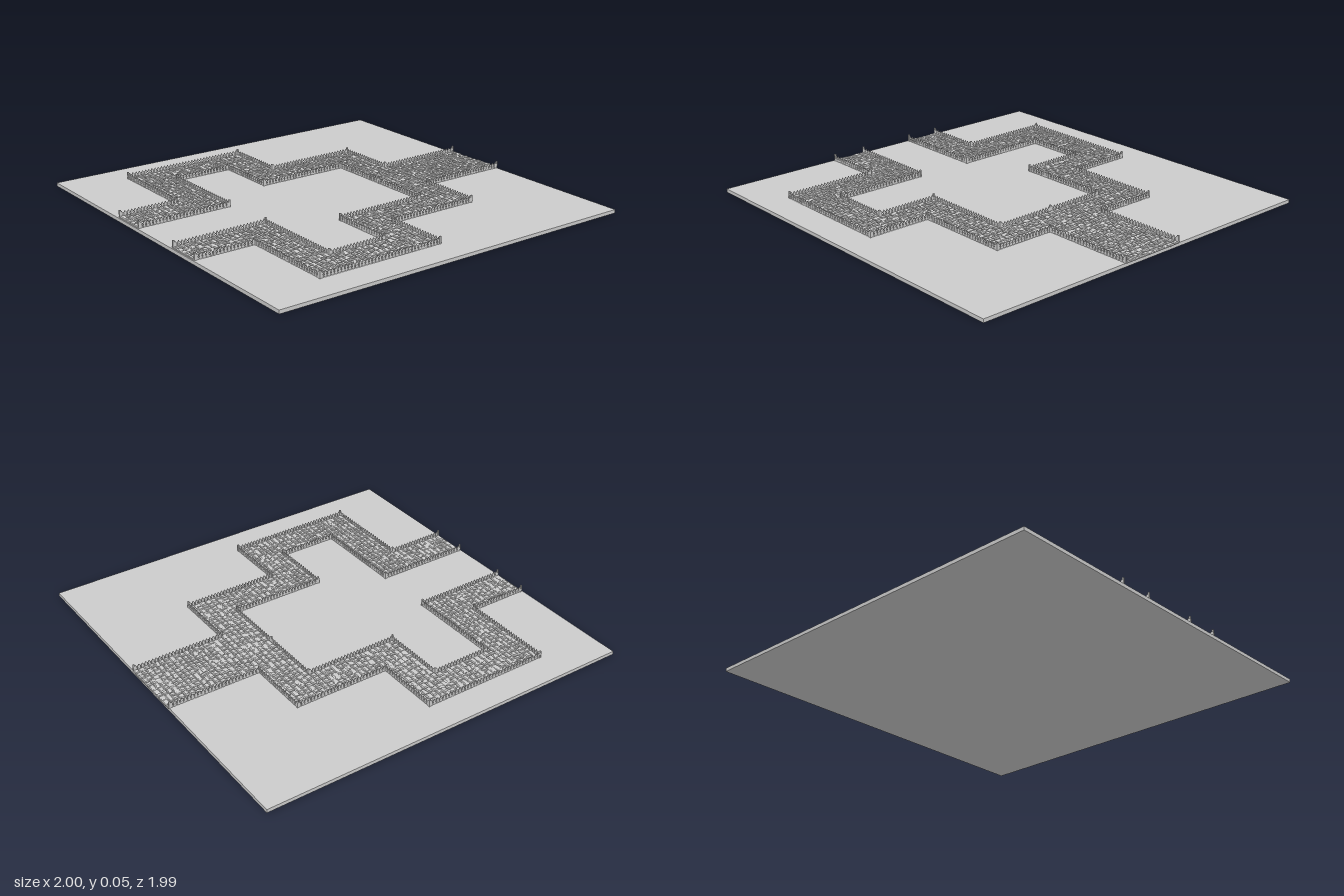
import * as THREE from 'three';
import { mergeGeometries } from 'three/addons/utils/BufferGeometryUtils.js';

const GROUND = 0.018;
const grey = new THREE.MeshStandardMaterial({ color: 0xcccccc, flatShading: true });

// Small seeded generator for the stone layout
function seeded(seed) {
  return () => {
    seed = (seed * 1664525 + 1013904223) % 4294967296;
    return seed / 4294967296;
  };
}

function addMerged(group, name, geometries) {
  const mesh = new THREE.Mesh(mergeGeometries(geometries), grey);
  mesh.name = name;
  group.add(mesh);
}

// Path pieces that do not overlap: [x0, x1, z0, z1]
const centrePieces = [
  [-0.173, 0.173, -0.995, -0.505],
  [-0.5, 0.5, -0.505, -0.325],
];
const sidePieces = [
  [0.322, 0.5, -0.325, -0.005],
  [0.322, 0.835, -0.005, 0.17],
  [0.655, 0.835, 0.17, 0.485],
  [0.157, 0.835, 0.485, 0.67],
  [0.157, 0.342, 0.67, 0.99],
];

// Fence lines on one side of the path, [x, z]
const outerLine = [[0.173, -0.988], [0.173, -0.505], [0.5, -0.505], [0.5, -0.005],
  [0.835, -0.005], [0.835, 0.67], [0.342, 0.67], [0.342, 0.985]];
const innerLine = [[0, -0.325], [0.322, -0.325], [0.322, 0.17], [0.655, 0.17],
  [0.655, 0.485], [0.157, 0.485], [0.157, 0.985]];

// One cobble: a box narrowed at the top, with uneven corners
function stone(cx, cz, w, d, h, rand) {
  const g = new THREE.BoxGeometry(w, h, d, 1, 2, 1);
  const p = g.attributes.position;
  const offsets = {};
  for (let i = 0; i < p.count; i++) {
    const x = p.getX(i), y = p.getY(i), z = p.getZ(i);
    const key = `${Math.sign(x)},${Math.sign(z)}`;
    offsets[key] ??= [(rand() - 0.5) * w * 0.22, (rand() - 0.5) * d * 0.22, (rand() - 0.5) * 0.002];
    const [ox, oz, oy] = offsets[key];
    const taper = y > h * 0.25 ? 0.7 : 1;
    p.setXYZ(i, x * taper + ox, y > 0 ? y + oy : y, z * taper + oz);
  }
  g.translate(cx, GROUND + h / 2, cz);
  return g;
}

// Fill a rectangle with rows of stones of varied width
function paveRectangle([x0, x1, z0, z1], rand, out) {
  const rows = Math.round((z1 - z0) / 0.028);
  const depth = (z1 - z0) / rows;
  for (let r = 0; r < rows; r++) {
    let x = x0;
    while (x < x1 - 0.004) {
      let w = 0.02 + rand() * 0.024;
      if (x1 - x - w < 0.018) w = x1 - x;
      const d = depth * (0.85 + rand() * 0.12);
      out.push(stone(x + w / 2, z0 + (r + 0.5) * depth, w * 0.92, d, 0.006 + rand() * 0.004, rand));
      x += w;
    }
  }
}

// Pointed picket standing on the ground, facing z
function makePicket() {
  const w = 0.006, h = 0.031;
  const s = new THREE.Shape();
  s.moveTo(-w, 0);
  s.lineTo(w, 0);
  s.lineTo(w, h - 0.009);
  s.lineTo(0, h);
  s.lineTo(-w, h - 0.009);
  const g = new THREE.ExtrudeGeometry(s, { depth: 0.004, bevelEnabled: false });
  return g.translate(0, GROUND, -0.002);
}

// Pickets, two rails and corner posts along a line of points
function fenceAlong(points, out) {
  const picket = makePicket();
  points.forEach(([x, z], i) => {
    const post = new THREE.BoxGeometry(0.008, 0.037, 0.008).toNonIndexed();
    out.posts.push(post.translate(x, GROUND + 0.0185, z));
    if (i === 0) return;
    const [px, pz] = points[i - 1];
    const dx = x - px, dz = z - pz;
    const length = Math.hypot(dx, dz);
    const angle = Math.atan2(-dz, dx);
    const count = Math.round(length / 0.0185);
    for (let k = 0; k < count; k++) {
      const t = (k + 0.5) / count;
      out.pickets.push(picket.clone().rotateY(angle).translate(px + dx * t, 0, pz + dz * t));
    }
    for (const y of [0.008, 0.019]) {
      const rail = new THREE.BoxGeometry(length, 0.004, 0.003);
      out.rails.push(rail.rotateY(angle).translate((x + px) / 2, GROUND + y, (z + pz) / 2));
    }
  });
}

export function createModel() {
  const model = new THREE.Group();
  model.name = 'gardenPath';

  // Ground slab
  const ground = new THREE.Mesh(new THREE.BoxGeometry(2, GROUND, 1.985), grey);
  ground.name = 'ground';
  ground.position.set(0, GROUND / 2, 0.003);
  model.add(ground);

  // Path bed and cobbles
  const mirrored = sidePieces.map(([x0, x1, z0, z1]) => [-x1, -x0, z0, z1]);
  const pieces = [...centrePieces, ...sidePieces, ...mirrored];
  const rand = seeded(7);
  const stones = [];
  const beds = [];
  for (const piece of pieces) {
    const [x0, x1, z0, z1] = piece;
    const bed = new THREE.BoxGeometry(x1 - x0, 0.003, z1 - z0);
    beds.push(bed.translate((x0 + x1) / 2, GROUND + 0.0015, (z0 + z1) / 2));
    paveRectangle(piece, rand, stones);
  }
  addMerged(model, 'pathBed', beds);
  addMerged(model, 'cobbles', stones);

  // Fences on both edges, mirrored left and right
  const fence = new THREE.Group();
  fence.name = 'fence';
  const parts = { pickets: [], rails: [], posts: [] };
  for (const side of [1, -1]) {
    for (const line of [outerLine, innerLine]) {
      fenceAlong(line.map(([x, z]) => [side * x, z]), parts);
    }
  }
  addMerged(fence, 'pickets', parts.pickets);
  addMerged(fence, 'rails', parts.rails);
  addMerged(fence, 'posts', parts.posts);
  model.add(fence);

  return model;
}
